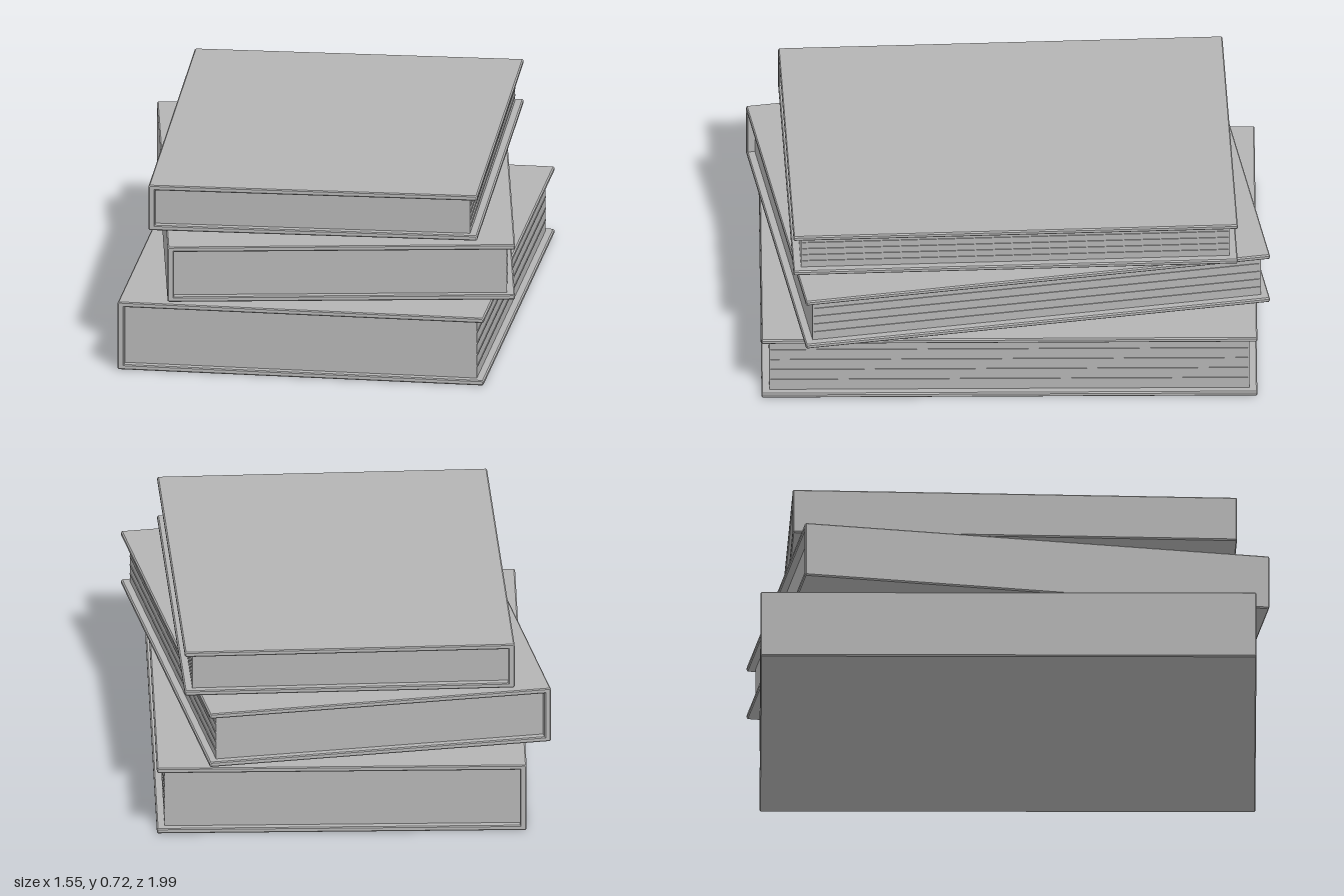
import * as THREE from 'three';

const grey = new THREE.MeshStandardMaterial({ color: 0xb4b4b4 });
grey.name = 'plain grey';

const BOARD = 0.02;   // cover thickness
const SPINE = 0.025;  // spine thickness
const INSET = 0.03;   // how far the pages sit back from the cover edge
const BEVEL = 0.004;

// U-shaped case: two boards joined by a flat spine on the -x side
function caseGeometry(w, h, d) {
  const x0 = -w / 2, x1 = w / 2, c = 0.005;
  const shape = new THREE.Shape([
    [x0 + c, 0], [x1 - c, 0], [x1, c], [x1, BOARD - c], [x1 - c, BOARD],
    [x0 + SPINE, BOARD], [x0 + SPINE, h - BOARD],
    [x1 - c, h - BOARD], [x1, h - BOARD + c], [x1, h - c], [x1 - c, h],
    [x0 + c, h], [x0, h - c], [x0, c],
  ].map(([x, y]) => new THREE.Vector2(x, y)));
  const geometry = new THREE.ExtrudeGeometry(shape, {
    depth: d - 2 * BEVEL, bevelEnabled: true, bevelSegments: 1,
    bevelSize: BEVEL, bevelThickness: BEVEL, bevelOffset: -BEVEL,
  });
  return geometry.translate(0, 0, -d / 2 + BEVEL);
}

function addPart(parent, name, geometry, x = 0, y = 0, z = 0) {
  const mesh = new THREE.Mesh(geometry, grey);
  mesh.name = name;
  mesh.position.set(x, y, z);
  parent.add(mesh);
}

function createBook(name, w, h, d) {
  const book = new THREE.Group();
  book.name = name;
  addPart(book, 'cover', caseGeometry(w, h, d));

  // Page block between the boards
  const left = -w / 2 + SPINE, right = w / 2 - INSET;
  const pageH = h - 2 * BOARD, pageD = d - 2 * INSET;
  addPart(book, 'pages', new THREE.BoxGeometry(right - left, pageH, pageD),
    (left + right) / 2, h / 2);

  // Fine page ridges along the fore-edge
  for (let i = 1; i <= 4; i++) {
    addPart(book, 'pageRidge' + i, new THREE.BoxGeometry(0.006, 0.004, pageD - 0.01),
      right, BOARD + pageH * i / 5);
  }
  return book;
}

export function createModel() {
  const stack = new THREE.Group();
  stack.name = 'bookStack';
  // name, width, height, depth, base height, turn
  const books = [
    ['bottomBook', 1.41, 0.27, 1.89, 0, -0.078],
    ['middleBook', 1.325, 0.22, 1.795, 0.295, 0.0885],
    ['topBook', 1.26, 0.18, 1.695, 0.539, -0.039],
  ];
  for (const [name, w, h, d, y, turn] of books) {
    const book = createBook(name, w, h, d);
    book.position.y = y;
    book.rotation.y = turn;
    stack.add(book);
  }
  return stack;
}
